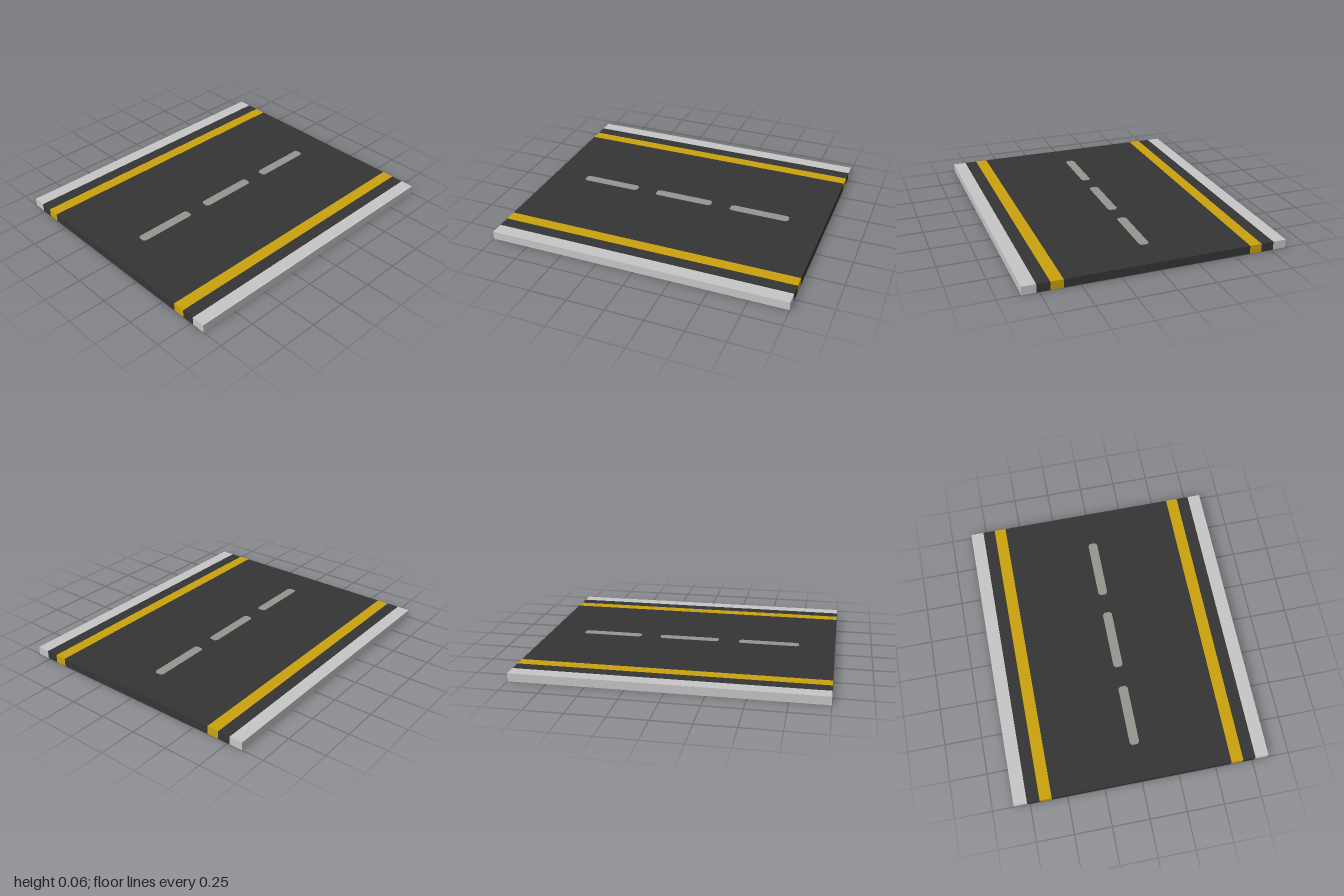
import * as THREE from 'three';

const HEIGHT = 0.055;
const LENGTH = 2;

function material(name, color) {
  const m = new THREE.MeshStandardMaterial({ color });
  m.name = name;
  return m;
}

export function createModel() {
  const concrete = material('light concrete', 0xc6c6c6);
  const asphalt = material('dark asphalt', 0x353535);
  const yellow = material('yellow paint', 0xcaa30f);
  const dashPaint = material('worn grey paint', 0x969690);

  const road = new THREE.Group();
  road.name = 'roadSection';

  // Full-length strip between two x positions, with a concrete underside
  function strip(name, x0, x1, mat) {
    const geometry = new THREE.BoxGeometry(x1 - x0, HEIGHT, LENGTH);
    const mesh = new THREE.Mesh(geometry, [mat, mat, mat, concrete, mat, mat]);
    mesh.name = name;
    mesh.position.set((x0 + x1) / 2, HEIGHT / 2, 0);
    road.add(mesh);
  }

  // Carriageway, then mirrored edge lines, shoulders and kerbs
  strip('carriageway', -0.603, 0.603, asphalt);
  const bands = [
    ['EdgeLine', 0.603, 0.683, yellow],
    ['Shoulder', 0.683, 0.766, asphalt],
    ['Kerb', 0.766, 0.855, concrete],
  ];
  for (const [name, inner, outer, mat] of bands) {
    strip('left' + name, inner, outer, mat);
    strip('right' + name, -outer, -inner, mat);
  }

  // Centre dashes: thin plates with clipped corners
  const w = 0.032, h = 0.206, cx = 0.013, cz = 0.016;
  const outline = new THREE.Shape([
    [-w + cx, -h], [w - cx, -h], [w, -h + cz], [w, h - cz],
    [w - cx, h], [-w + cx, h], [-w, h - cz], [-w, -h + cz],
  ].map(([x, y]) => new THREE.Vector2(x, y)));
  const dashGeometry = new THREE.ExtrudeGeometry(outline, { depth: 0.002, bevelEnabled: false });
  dashGeometry.rotateX(-Math.PI / 2);
  for (const z of [-0.552, -0.002, 0.552]) {
    const dash = new THREE.Mesh(dashGeometry, dashPaint);
    dash.name = 'centreDash';
    dash.position.set(0, HEIGHT - 0.0005, z);
    road.add(dash);
  }
  return road;
}
